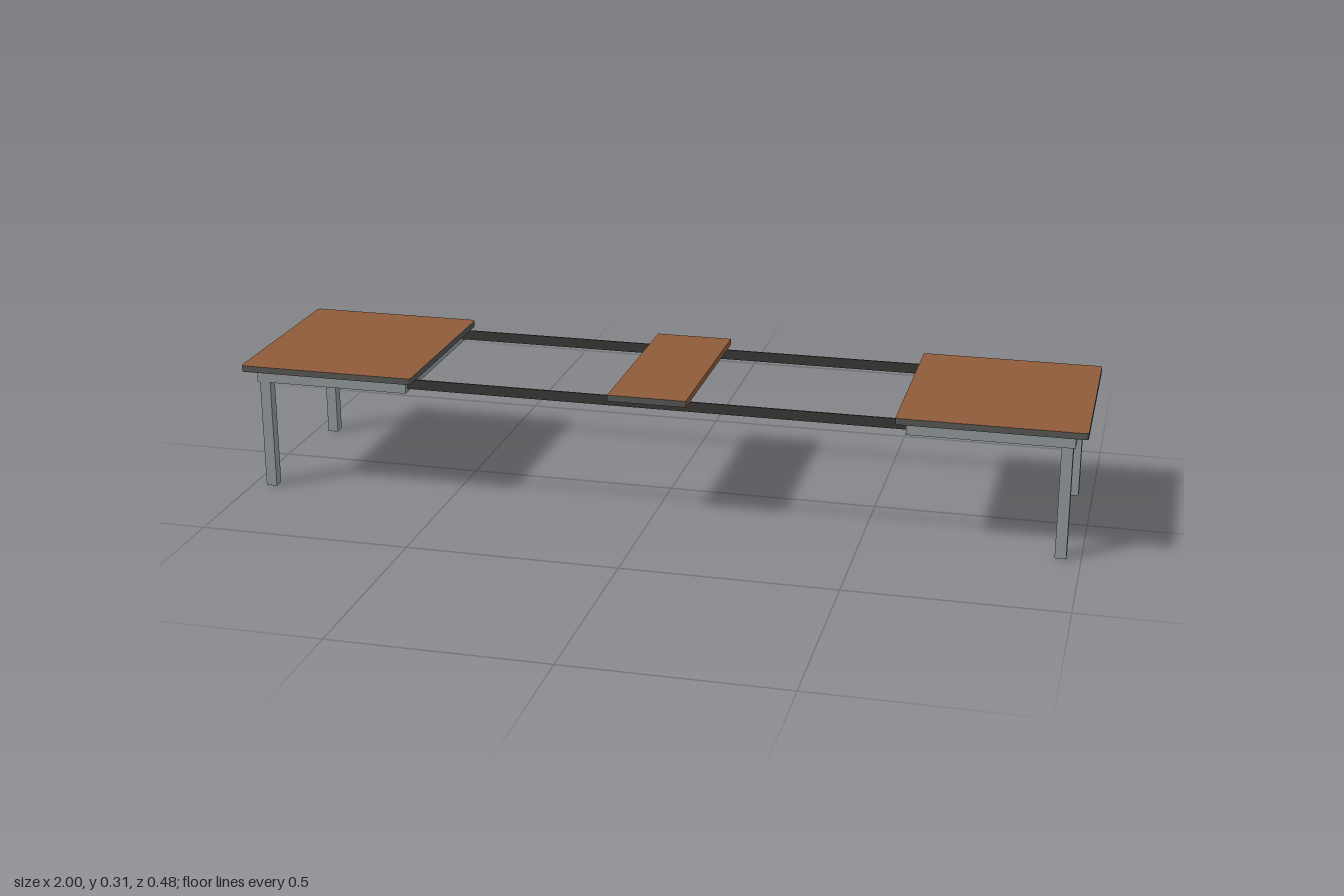
import * as THREE from 'three';

const material = (name, color) => Object.assign(new THREE.MeshStandardMaterial({ color }), { name });

export function createModel() {
  const wood = material('wood', 0x8f5b3a);
  const edging = material('dark edging', 0x555553);
  const metal = material('grey metal', 0x90989a);
  const railMetal = material('dark rail', 0x393735);

  const model = new THREE.Group();
  model.name = 'extendingTable';

  // Box given by its lower and upper corners
  const box = (parent, name, mat, [x0, y0, z0], [x1, y1, z1]) => {
    const mesh = new THREE.Mesh(new THREE.BoxGeometry(x1 - x0, y1 - y0, z1 - z0), mat);
    mesh.position.set((x0 + x1) / 2, (y0 + y1) / 2, (z0 + z1) / 2);
    mesh.name = name;
    parent.add(mesh);
    return mesh;
  };

  // Board with slightly rounded corners, wood faces and dark edge
  const boardGeometry = (x0, x1, halfZ, r, thickness) => {
    const s = new THREE.Shape();
    s.moveTo(x0 + r, -halfZ);
    s.lineTo(x1 - r, -halfZ);
    s.absarc(x1 - r, -halfZ + r, r, -Math.PI / 2, 0);
    s.lineTo(x1, halfZ - r);
    s.absarc(x1 - r, halfZ - r, r, 0, Math.PI / 2);
    s.lineTo(x0 + r, halfZ);
    s.absarc(x0 + r, halfZ - r, r, Math.PI / 2, Math.PI);
    s.lineTo(x0, -halfZ + r);
    s.absarc(x0 + r, -halfZ + r, r, Math.PI, Math.PI * 1.5);
    const g = new THREE.ExtrudeGeometry(s, { depth: thickness, bevelEnabled: false, curveSegments: 4 });
    return g.rotateX(-Math.PI / 2);
  };

  const yApron = 0.267, yTop = 0.299, thickness = 0.015, bar = 0.02;
  const xIn = 0.595, xOut = 0.972, zOut = 0.215;

  // Two identical table ends, turned to face each other
  for (const [name, turn] of [['leftTableEnd', 0], ['rightTableEnd', Math.PI]]) {
    const end = new THREE.Group();
    end.name = name;
    end.rotation.y = turn;

    const top = new THREE.Mesh(boardGeometry(0.573, 1, 0.242, 0.008, thickness), [wood, edging]);
    top.name = 'tableTop';
    top.position.y = yTop;
    end.add(top);

    // Frame under the top
    box(end, 'innerApron', metal, [xIn, yApron, -zOut + bar], [xIn + bar, yTop, zOut - bar]);
    box(end, 'outerApron', metal, [xOut - bar, yApron, -zOut + bar], [xOut, yTop, zOut - bar]);
    for (const side of [-1, 1]) {
      const z = side * (zOut - bar / 2);
      box(end, 'sideApron', metal, [xIn, yApron, z - bar / 2], [xOut, yTop, z + bar / 2]);
      const legZ = side * 0.1985;
      box(end, 'leg', metal, [0.941, 0, legZ - 0.0135], [0.967, yApron, legZ + 0.0135]);
    }
    model.add(end);
  }

  // Slim sliding rails joining the ends
  for (const z of [-0.2, 0.2]) {
    box(model, 'slidingRail', railMetal, [-0.63, 0.275, z - 0.002], [0.63, yTop, z + 0.002]);
  }

  // Centre leaf: dark edging only on its short ends
  box(model, 'centreLeaf', [wood, wood, wood, wood, edging, edging],
    [-0.093, yTop, -0.242], [0.093, yTop + thickness, 0.242]);

  return model;
}
